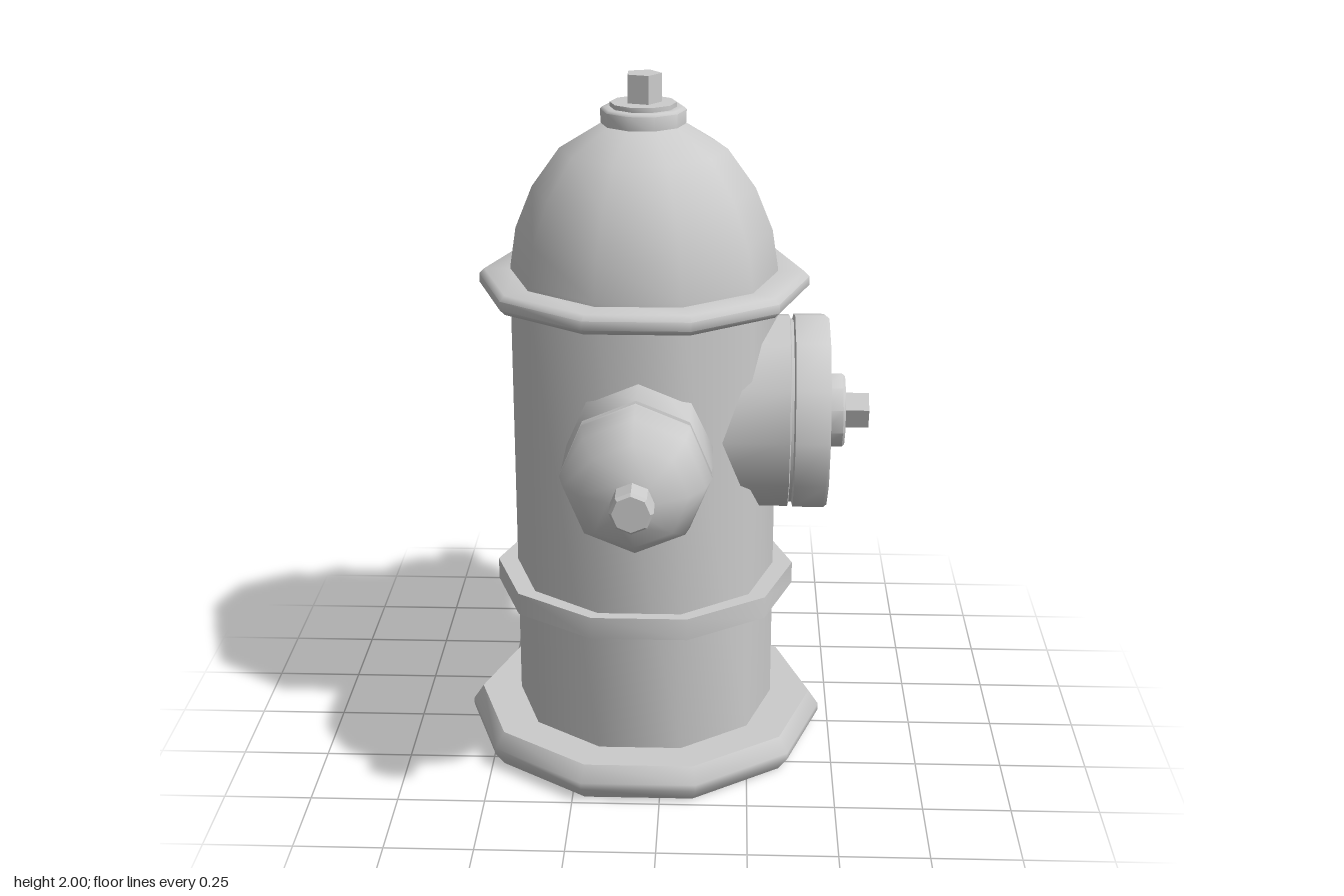
import * as THREE from 'three';
import { toCreasedNormals } from 'three/addons/utils/BufferGeometryUtils.js';

const AXIS_X = -0.06;
const PORT_Y = 1.02;
const material = new THREE.MeshStandardMaterial({ color: 0xcccccc });

// Low-sided turned part: profile is [radius, height] pairs from bottom to top
function turned(name, profile, sides, crease = 0.9, start = Math.PI / 2) {
  const points = profile.map(([r, y]) => new THREE.Vector2(r, y));
  const geometry = new THREE.LatheGeometry(points, sides, start);
  const mesh = new THREE.Mesh(toCreasedNormals(geometry, crease), material);
  mesh.name = name;
  return mesh;
}

// Side port, built along +y and turned to face forwards or backwards
function sidePort(name, direction) {
  const port = new THREE.Group();
  port.name = name;
  port.add(
    turned('portCap', [
      [0, 0.2], [0.203, 0.2], [0.203, 0.495], [0.192, 0.5], [0.192, 0.515], [0.204, 0.52],
      [0.204, 0.535], [0.19, 0.6], [0.145, 0.665], [0.065, 0.713], [0, 0.713],
    ], 8),
    turned('portNut', [
      [0, 0.69], [0.058, 0.69], [0.058, 0.777], [0.05, 0.786], [0, 0.786],
    ], 8, 0.5),
  );
  port.rotation.x = direction * Math.PI / 2;
  port.position.set(AXIS_X, PORT_Y, 0);
  return port;
}

export function createModel() {
  const hydrant = new THREE.Group();
  hydrant.name = 'hydrant';

  // Ten-sided column with its rings and domed bonnet
  const column = new THREE.Group();
  column.name = 'column';
  column.position.x = AXIS_X;
  const base = turned('base', [
    [0, 0], [0.5, 0], [0.53, 0.04], [0.53, 0.06], [0.5, 0.105], [0, 0.105],
  ], 10);
  base.scale.z = 0.98;
  const band = turned('band', [
    [0.36, 0.47], [0.44, 0.47], [0.44, 0.535], [0.36, 0.535],
  ], 10);
  band.scale.z = 0.945;
  column.add(
    base,
    band,
    turned('barrel', [[0.382, 0.09], [0.382, 1.41]], 10),
    turned('flange', [
      [0.36, 1.385], [0.455, 1.385], [0.47, 1.4], [0.47, 1.425], [0.455, 1.44], [0.36, 1.44],
    ], 10),
    turned('bonnet', [
      [0.382, 1.42], [0.38, 1.45], [0.363, 1.56], [0.314, 1.68], [0.235, 1.79],
      [0.112, 1.865], [0, 1.87],
    ], 10),
    turned('bonnetCollar', [
      [0.118, 1.85], [0.12, 1.9], [0.113, 1.907], [0.093, 1.907], [0.093, 1.92], [0, 1.922],
    ], 10),
    turned('topNut', [[0.052, 1.9], [0.052, 2], [0, 2]], 5, 0.5),
  );
  hydrant.add(column);

  // Matching front and back ports
  hydrant.add(sidePort('frontPort', 1), sidePort('backPort', -1));

  // Large outlet, built along +y and turned towards +x
  const outlet = new THREE.Group();
  outlet.name = 'mainOutlet';
  outlet.rotation.z = -Math.PI / 2;
  outlet.position.y = PORT_Y + 0.003;
  outlet.add(
    turned('outletCap', [
      [0, 0], [0.283, 0], [0.283, 0.357], [0.27, 0.36], [0.27, 0.368], [0.285, 0.372],
      [0.285, 0.46], [0.277, 0.47], [0, 0.47],
    ], 12),
    turned('outletHub', [[0.11, 0.46], [0.11, 0.513], [0.103, 0.52], [0, 0.52]], 10),
    turned('outletNut', [[0.053, 0.5], [0.053, 0.59], [0, 0.59]], 5, 0.5, -Math.PI / 2),
  );
  hydrant.add(outlet);

  return hydrant;
}
